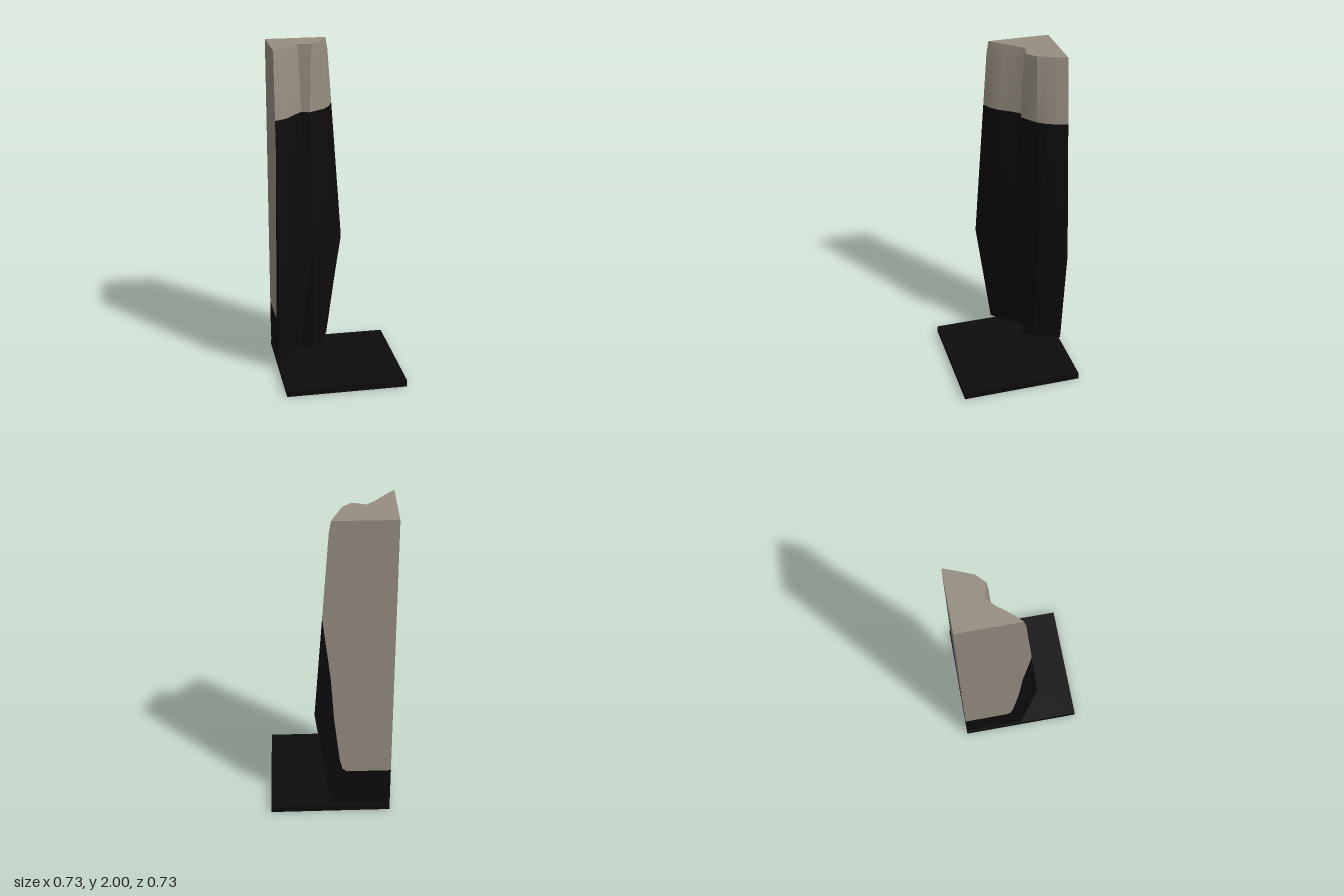
import * as THREE from 'three';
import { toCreasedNormals } from 'three/addons/utils/BufferGeometryUtils.js';

const C = -0.365; // the square back corner of the pillar, in x and z

// Front contour as [x, z], from the right edge round to the left edge
const END = [[0, C], [-0.02, -0.31], [-0.045, -0.25], [-0.065, -0.2], [-0.12, -0.15],
  [-0.2, -0.175], [-0.255, -0.125], [-0.285, -0.085], [-0.32, -0.045], [C, 0]];
const UPPER = [[0.035, C], [0.02, -0.31], [-0.005, -0.25], [-0.04, -0.2], [-0.135, -0.13],
  [-0.185, -0.145], [-0.225, -0.1], [-0.27, -0.035], [-0.31, 0.005], [C, 0.035]];
const BULGE = [[0.095, C], [0.085, -0.31], [0.07, -0.25], [0.055, -0.19], [-0.13, -0.095],
  [-0.175, -0.07], [-0.21, -0.015], [-0.25, 0.03], [-0.3, 0.065], [C, 0.095]];
const mix = (a, b, t) => a.map((p, i) => p.map((v, k) => v + (b[i][k] - v) * t));

// Strip of surface through stacked contours
function loft(levels) {
  const pos = [];
  for (let l = 0; l < levels.length - 1; l++) {
    const [y0, a] = levels[l], [y1, b] = levels[l + 1];
    for (let i = 0; i < a.length - 1; i++) {
      const A = [a[i][0], y0, a[i][1]], B = [a[i + 1][0], y0, a[i + 1][1]];
      const D = [b[i][0], y1, b[i][1]], E = [b[i + 1][0], y1, b[i + 1][1]];
      pos.push(...A, ...D, ...B, ...B, ...D, ...E);
    }
  }
  const g = new THREE.BufferGeometry();
  g.setAttribute('position', new THREE.Float32BufferAttribute(pos, 3));
  return toCreasedNormals(g, 0.35);
}

const flat = (pts) => new THREE.ShapeGeometry(new THREE.Shape(pts.map(([x, y]) => new THREE.Vector2(x, y))));

export function createModel() {
  const model = new THREE.Group();
  const stone = new THREE.MeshStandardMaterial({ color: 0x958d80 });
  stone.name = 'warm grey';
  const black = new THREE.MeshStandardMaterial({ color: 0x0c0c0c });
  black.name = 'black';
  const add = (name, geo, mat) => {
    const m = new THREE.Mesh(geo, mat);
    m.name = name;
    model.add(m);
    return m;
  };

  // Square base plate
  add('basePlate', new THREE.BoxGeometry(0.73, 0.04, 0.73), black).position.y = 0.02;

  // Faceted front, black below and grey at the top
  add('lowerFront', loft([[0.06, END], [0.74, BULGE], [1.6, UPPER]]), black);
  add('upperFront', loft([[1.6, UPPER], [1.93, mix(UPPER, END, 0.66)], [2, END]]), stone);

  // Top and bottom caps
  const cap = [[C, C], ...END];
  add('topCap', flat(cap.map(([x, z]) => [x, -z])).rotateX(-Math.PI / 2).translate(0, 2, 0), stone);
  add('bottomCap', flat(cap).rotateX(Math.PI / 2).translate(0, 0.06, 0), black);

  // Two flat back walls, each a grey panel with a black border: [distance from corner, y]
  const seam = [[0, 0.31], [0.265, 0.31], [0.293, 0.33], [0.31, 0.4], [0.345, 0.7],
    [0.366, 1], [0.39, 1.2], [0.414, 1.4]];
  const panel = [...seam, [0.4, 1.6], [0.377, 1.93], [0.365, 2], [0, 2]];
  const border = [[0, 0.06], [0.365, 0.06], [0.46, 0.74], ...[...seam].reverse()];
  for (const [name, pts, mat] of [['Panel', panel, stone], ['Border', border, black]]) {
    add('side' + name, flat(pts).rotateY(-Math.PI / 2).translate(C, 0, C), mat);
    add('back' + name, flat(pts.map(([s, y]) => [-s, y])).rotateY(Math.PI).translate(C, 0, C), mat);
  }
  return model;
}
